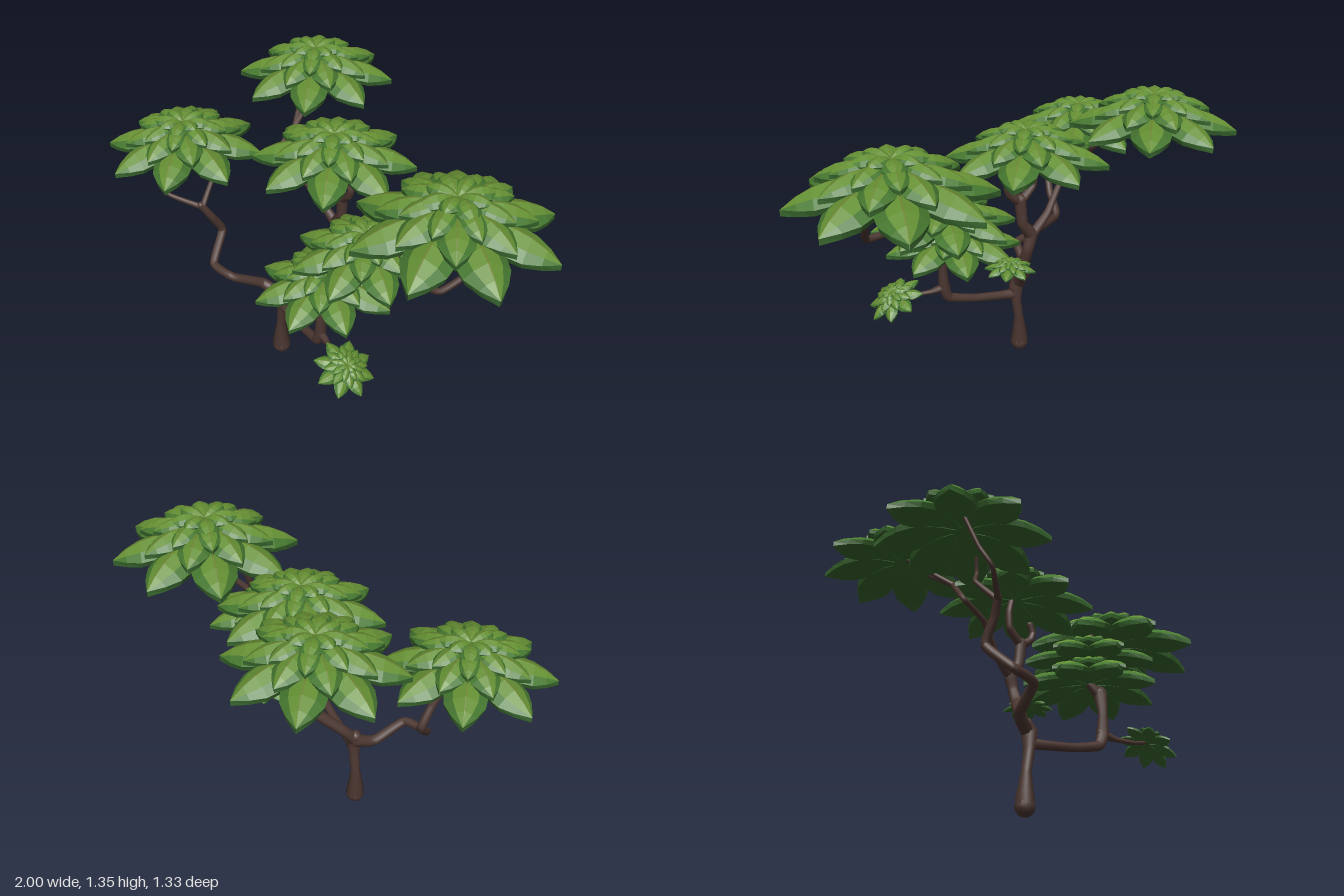
import * as THREE from 'three';
import { mergeGeometries } from 'three/addons/utils/BufferGeometryUtils.js';

const material = (name, color) => {
  const m = new THREE.MeshStandardMaterial({ color });
  m.name = name;
  return m;
};

// Tapered limb through points [x, y, z, radius], rounded at both ends
function limbGeometry(points) {
  const path = points.map(([x, y, z]) => new THREE.Vector3(x, y, z));
  const curve = new THREE.CatmullRomCurve3(path, false, 'catmullrom', 0.25);
  const rings = points.length * 8, sides = 10;
  const tube = new THREE.TubeGeometry(curve, rings, 1, sides);
  const pos = tube.attributes.position, v = new THREE.Vector3();
  for (let i = 0; i <= rings; i++) {
    const centre = curve.getPointAt(i / rings);
    const k = curve.getUtoTmapping(i / rings) * (points.length - 1);
    const a = Math.min(Math.floor(k), points.length - 2);
    const radius = THREE.MathUtils.lerp(points[a][3], points[a + 1][3], k - a);
    for (let j = 0; j <= sides; j++) {
      const n = i * (sides + 1) + j;
      v.fromBufferAttribute(pos, n).sub(centre).multiplyScalar(radius).add(centre);
      pos.setXYZ(n, v.x, v.y, v.z);
    }
  }
  const caps = [points[0], points[points.length - 1]].map(([x, y, z, r]) =>
    new THREE.SphereGeometry(r, 10, 8).translate(x, y, z));
  return mergeGeometries([tube, ...caps]);
}

// Leaf cross-section: [across, fold, thickness]; five top strips, then rim and underside
const SECTION = [[-1, 1, 0], [-0.6, 0.42, 0], [-0.035, 0, 0], [0.035, 0, 0], [0.6, 0.42, 0], [1, 1, 0],
  [0.9, 1, 1], [0, 0.85, 1], [-0.9, 1, 1]];
const STRIPS = { light: [1, 3], edge: [0, 4], vein: [2], under: [5, 6, 7, 8] };
const WIDTHS = [0.07, 0.15, 0.21, 0.24, 0.222, 0.135, 0.002];

// Arched pointed leaf along +x, from r0 to r1, through heights y0, yMid, y1
function leafStrips({ r0, r1, y0, yMid, y1, wide, thick }, strips) {
  const bend = new THREE.QuadraticBezierCurve(
    new THREE.Vector2(r0, y0),
    new THREE.Vector2((r0 + r1) / 2 + 0.05 * r1, 2 * yMid - (y0 + y1) / 2),
    new THREE.Vector2(r1, y1));
  const rows = WIDTHS.map((w, i) => {
    const p = bend.getPoint(i / (WIDTHS.length - 1));
    const half = w * wide;
    return SECTION.map(([u, f, t]) => [p.x, p.y - f * half * 0.6 - t * thick, u * half]);
  });
  const out = [];
  for (let i = 0; i < rows.length - 1; i++) {
    for (const j of strips) {
      const k = (j + 1) % SECTION.length;
      const a = rows[i][j], b = rows[i + 1][j], c = rows[i + 1][k], d = rows[i][k];
      out.push(...a, ...d, ...c, ...a, ...c, ...b);
    }
  }
  const g = new THREE.BufferGeometry();
  g.setAttribute('position', new THREE.Float32BufferAttribute(out, 3));
  g.computeVertexNormals();
  return g;
}

// Tiers of leaves in a rosette of radius 1, from the outer ring to the crown
const TIERS = [
  { count: 8, turn: 0, r0: 0.06, r1: 1, y0: 0.26, yMid: 0.31, y1: 0.08, wide: 1, thick: 0.06 },
  { count: 8, turn: 0.5, r0: 0.04, r1: 0.73, y0: 0.37, yMid: 0.43, y1: 0.26, wide: 0.74, thick: 0.05 },
  { count: 8, turn: 0, r0: 0.02, r1: 0.55, y0: 0.43, yMid: 0.49, y1: 0.37, wide: 0.56, thick: 0.04 },
  { count: 4, turn: 0.5, r0: 0, r1: 0.4, y0: 0.45, yMid: 0.53, y1: 0.43, wide: 0.5, thick: 0.04 },
  { count: 4, turn: 0, r0: 0, r1: 0.32, y0: 0.47, yMid: 0.54, y1: 0.48, wide: 0.44, thick: 0.03 },
];

function rosetteGeometry(strips) {
  const leaves = [];
  for (const tier of TIERS) {
    for (let i = 0; i < tier.count; i++) {
      leaves.push(leafStrips(tier, strips).rotateY(((i + tier.turn) / tier.count) * Math.PI * 2));
    }
  }
  return mergeGeometries(leaves);
}

export function createModel() {
  const tree = new THREE.Group();
  tree.name = 'tree';
  const bark = material('bark brown', 0x4c3731);
  const greens = {
    light: material('light leaf green', 0x648f33),
    edge: material('leaf edge green', 0x467830),
    vein: material('olive vein', 0x6c7d2f),
    under: material('dark leaf green', 0x38662d),
  };

  // Trunk and branches
  const limbs = {
    trunk: [[-0.19, 0.042, 0.155, 0.042], [-0.19, 0.09, 0.155, 0.038], [-0.185, 0.18, 0.155, 0.022],
      [-0.17, 0.28, 0.155, 0.024], [-0.168, 0.35, 0.155, 0.036], [-0.18, 0.39, 0.15, 0.028]],
    leftBranch: [[-0.18, 0.36, 0.155, 0.03], [-0.26, 0.4, 0.2, 0.024], [-0.3, 0.475, 0.33, 0.02],
      [-0.42, 0.49, 0.355, 0.019], [-0.485, 0.6, 0.26, 0.02], [-0.485, 0.7, 0.31, 0.018], [-0.5, 0.77, 0.35, 0.016]],
    leftOuterTwig: [[-0.495, 0.76, 0.345, 0.014], [-0.61, 0.815, 0.45, 0.009], [-0.66, 0.89, 0.43, 0.009],
      [-0.72, 1.03, 0.4, 0.008]],
    leftInnerTwig: [[-0.495, 0.76, 0.345, 0.014], [-0.535, 0.87, 0.25, 0.01], [-0.5, 0.94, 0.21, 0.009],
      [-0.53, 1.05, 0.24, 0.008]],
    middleBranch: [[-0.175, 0.36, 0.155, 0.03], [-0.16, 0.43, 0.1, 0.025], [-0.06, 0.58, -0.05, 0.028],
      [-0.055, 0.66, -0.085, 0.023], [-0.07, 0.73, -0.085, 0.03], [-0.03, 0.79, -0.08, 0.023],
      [-0.02, 0.9, -0.075, 0.026]],
    middleLeftTwig: [[-0.02, 0.89, -0.075, 0.022], [-0.09, 0.95, -0.07, 0.017], [-0.1, 1.03, -0.065, 0.015],
      [-0.08, 1.12, -0.065, 0.013]],
    middleStub: [[-0.02, 0.89, -0.075, 0.022], [0.03, 0.93, -0.07, 0.017], [0.045, 0.97, -0.07, 0.016],
      [0.03, 1.01, -0.07, 0.016]],
    backBranch: [[-0.07, 0.72, -0.085, 0.024], [-0.17, 0.8, -0.07, 0.017], [-0.27, 0.905, -0.03, 0.013],
      [-0.4, 0.96, -0.01, 0.012], [-0.39, 1.07, -0.1, 0.013]],
    backOuterTwig: [[-0.39, 1.07, -0.1, 0.013], [-0.47, 1.16, -0.2, 0.01], [-0.55, 1.26, -0.31, 0.009]],
    backInnerTwig: [[-0.39, 1.07, -0.1, 0.013], [-0.43, 1.17, -0.24, 0.01], [-0.44, 1.25, -0.32, 0.009]],
    smallBackTwig: [[-0.06, 0.59, -0.06, 0.022], [0.0, 0.615, -0.1, 0.014], [0.08, 0.64, -0.15, 0.011]],
    rightBranch: [[-0.168, 0.31, 0.155, 0.026], [-0.1, 0.315, 0.17, 0.021], [0.04, 0.335, 0.19, 0.019],
      [0.17, 0.37, 0.21, 0.022], [0.195, 0.43, 0.21, 0.028], [0.2, 0.52, 0.21, 0.02], [0.2, 0.62, 0.2, 0.03]],
    lowTwig: [[0.19, 0.43, 0.21, 0.024], [0.26, 0.42, 0.22, 0.012], [0.35, 0.42, 0.245, 0.009],
      [0.44, 0.44, 0.26, 0.008]],
    rightFrontTwig: [[0.2, 0.61, 0.2, 0.026], [0.16, 0.66, 0.18, 0.017], [0.15, 0.71, 0.17, 0.013]],
    rightUpperBranch: [[0.2, 0.61, 0.2, 0.026], [0.25, 0.72, 0.14, 0.018], [0.34, 0.82, 0.05, 0.018],
      [0.45, 0.87, 0.02, 0.017]],
    rightInnerTwig: [[0.44, 0.86, 0.02, 0.016], [0.425, 0.95, -0.01, 0.014], [0.41, 1.09, -0.06, 0.012]],
    rightOuterTwig: [[0.44, 0.87, 0.02, 0.017], [0.55, 0.868, 0.015, 0.015], [0.67, 0.87, 0.0, 0.015],
      [0.72, 0.94, -0.09, 0.014], [0.8, 1.1, -0.26, 0.012]],
  };
  for (const [name, points] of Object.entries(limbs)) {
    const mesh = new THREE.Mesh(limbGeometry(points), bark);
    mesh.name = name;
    tree.add(mesh);
  }

  // Leaf clusters: name, x, base y, z, radius, turn, tilt
  const parts = Object.entries(STRIPS).map(([key, strips]) => [key, rosetteGeometry(strips)]);
  const turned = 0.41;
  const clusters = [
    ['leftFrontCluster', -0.653, 0.955, 0.315, 0.347, 0, 0],
    ['leftBackCluster', -0.525, 1.165, -0.318, 0.347, 0, 0],
    ['middleCluster', -0.06, 1.035, -0.063, 0.348, 0, 0],
    ['rightTopCluster', 0.609, 1.03, -0.12, 0.418, turned, 0],
    ['rightMiddleCluster', 0.287, 0.795, 0.045, 0.308, turned, 0],
    ['rightFrontCluster', 0.17, 0.612, 0.16, 0.302, turned, 0],
    ['lowCluster', 0.415, 0.405, 0.257, 0.133, 0, -0.5],
    ['smallBackCluster', 0.08, 0.615, -0.14, 0.11, 0, 0],
  ];
  for (const [name, x, y, z, radius, turn, tilt] of clusters) {
    const cluster = new THREE.Group();
    cluster.name = name;
    for (const [key, geometry] of parts) {
      const mesh = new THREE.Mesh(geometry, greens[key]);
      mesh.name = key + 'Leaves';
      cluster.add(mesh);
    }
    cluster.position.set(x, y, z);
    cluster.rotation.set(0, turn, tilt, 'ZYX');
    cluster.scale.setScalar(radius);
    tree.add(cluster);
  }
  return tree;
}
